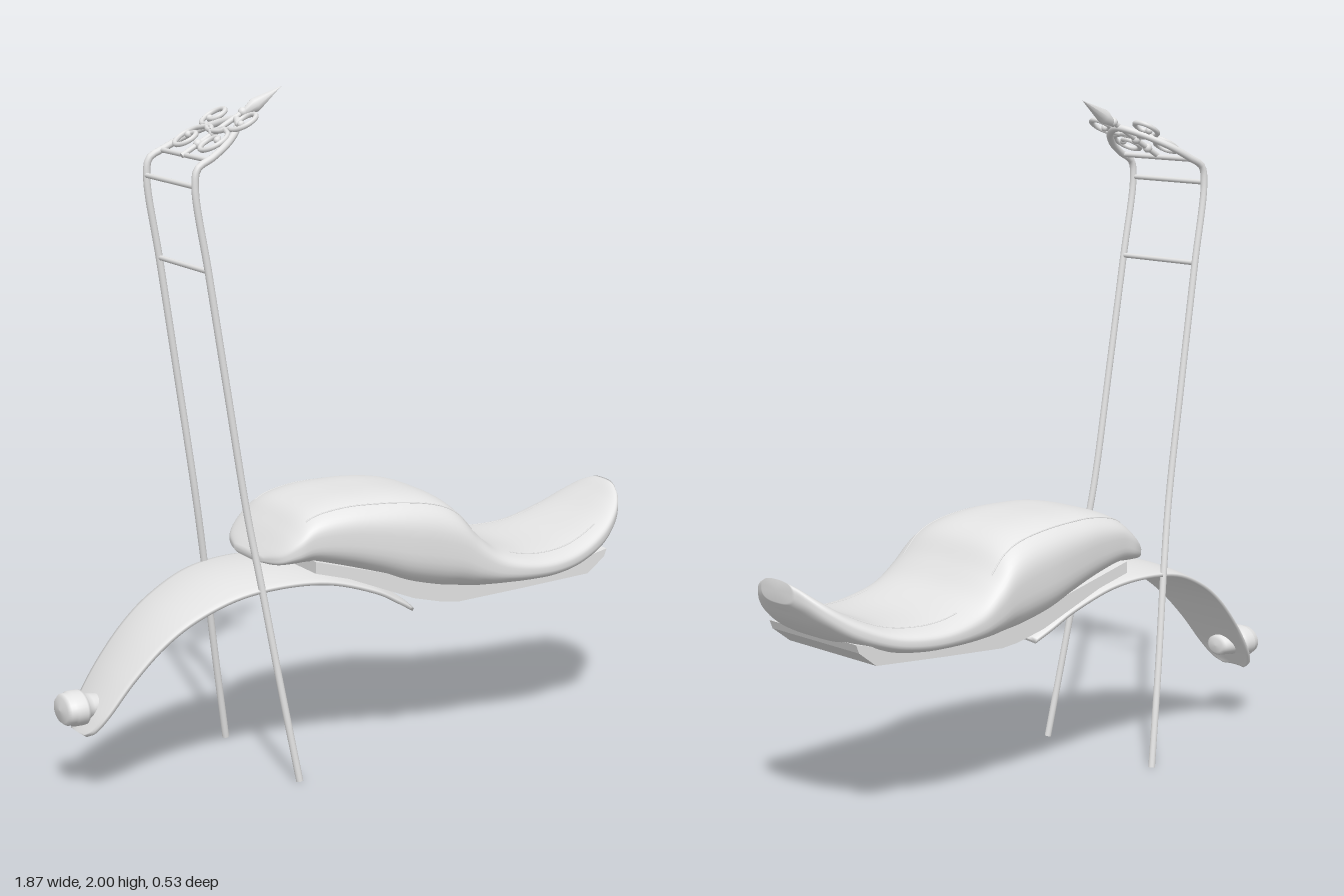
import * as THREE from 'three';

const metal = new THREE.MeshStandardMaterial({ color: 0xe4e4e4 });
metal.name = 'pale grey';

const V = (x, y, z = 0) => new THREE.Vector3(x, y, z);

function add(parent, geometry, name) {
  const mesh = new THREE.Mesh(geometry, metal);
  mesh.name = name;
  parent.add(mesh);
  return mesh;
}

function spline(points) {
  return new THREE.CatmullRomCurve3(points, false, 'catmullrom', 0.5);
}

function tube(parent, points, radius, name, segments = 40, sides = 10) {
  return add(parent, new THREE.TubeGeometry(new THREE.CatmullRomCurve3(points), segments, radius, sides), name);
}

// Straight round bar between two points
function bar(parent, a, b, radius, name) {
  const mesh = add(parent, new THREE.CylinderGeometry(radius, radius, a.distanceTo(b), 12), name);
  mesh.position.copy(a).add(b).multiplyScalar(0.5);
  mesh.quaternion.setFromUnitVectors(V(0, 1), b.clone().sub(a).normalize());
}

// Skin over closed rings of points, all rings the same length
function loft(rings) {
  const n = rings[0].length, index = [], position = rings.flat().flatMap(p => [p.x, p.y, p.z]);
  for (let i = 0; i < rings.length - 1; i++) {
    for (let j = 0; j < n; j++) {
      const k = (j + 1) % n, a = i * n + j, b = a + n, c = (i + 1) * n + k, d = i * n + k;
      index.push(a, b, c, a, c, d);
    }
  }
  const g = new THREE.BufferGeometry();
  g.setAttribute('position', new THREE.Float32BufferAttribute(position, 3));
  g.setIndex(index);
  g.computeVertexNormals();
  return g;
}

// Seat stations: x, top, bottom, half width
const seatStations = [
  [-0.33, 0.645, 0.625, 0.08], [-0.305, 0.675, 0.622, 0.16], [-0.26, 0.725, 0.622, 0.195],
  [-0.2, 0.775, 0.618, 0.205], [-0.1, 0.8, 0.59, 0.22], [0, 0.805, 0.555, 0.235],
  [0.1, 0.802, 0.515, 0.247], [0.2, 0.785, 0.49, 0.253], [0.27, 0.75, 0.482, 0.257],
  [0.33, 0.68, 0.48, 0.261], [0.4, 0.618, 0.482, 0.265], [0.5, 0.583, 0.484, 0.267],
  [0.6, 0.575, 0.486, 0.256], [0.7, 0.588, 0.5, 0.232], [0.8, 0.63, 0.535, 0.2],
  [0.87, 0.675, 0.585, 0.16], [0.91, 0.706, 0.63, 0.115], [0.93, 0.72, 0.655, 0.07],
];
const seatTop = spline(seatStations.map(([x, top, , w]) => V(x, top, w)));
const seatBottom = spline(seatStations.map(([x, , low]) => V(x, low)));

function seatRing(t, scale = 1) {
  const a = seatTop.getPoint(t), b = seatBottom.getPoint(t);
  const mid = (a.y + b.y) / 2, h = scale * (a.y - b.y) / 2, w = a.z * scale;
  const power = 2 / (3.3 - 0.6 * t);
  const soft = v => Math.sign(v) * Math.abs(v) ** power;
  return Array.from({ length: 56 }, (_, j) => {
    const q = (j + 0.5) / 56 * Math.PI * 2;
    return V(a.x, mid + h * soft(Math.sin(q)), w * soft(Math.cos(q)));
  });
}

function buildSeat(root) {
  const seat = new THREE.Group();
  seat.name = 'seat';
  root.add(seat);
  const rings = [seatRing(0, 0.001)];
  for (let i = 0; i <= 90; i++) rings.push(seatRing(i / 90));
  rings.push(seatRing(1, 0.001));
  add(seat, loft(rings), 'cushion');

  // Piping that follows the upper shoulders
  for (const side of [1, -1]) {
    for (const [from, to] of [[0.16, 0.52], [0.62, 0.82]]) {
      const line = [];
      for (let i = 0; i <= 16; i++) {
        const ring = seatRing(from + (to - from) * i / 16);
        line.push(ring[side > 0 ? 7 : 20]);
      }
      tube(seat, line, 0.0025, 'piping', 48, 6);
    }
  }

  // Flat-sided pan under the cushion
  const outline = [[-0.21, 0.605], [-0.1, 0.575], [0.12, 0.487], [0.22, 0.462], [0.28, 0.455], [0.5, 0.466],
    [0.74, 0.48], [0.8, 0.525], [0.81, 0.55], [0.7, 0.525], [0.3, 0.52], [0.1, 0.555], [-0.21, 0.64]];
  const shape = new THREE.Shape(outline.map(([x, y]) => new THREE.Vector2(x, y)));
  const pan = new THREE.ExtrudeGeometry(shape, { depth: 0.4, bevelEnabled: false });
  pan.translate(0, 0, -0.2);
  add(seat, pan, 'seatPan');
}

// Arched mudguard with a shallow crown
function buildFender(root) {
  const path = spline([
    [-0.885, 0.182, 0.045], [-0.872, 0.205, 0.08], [-0.84, 0.258, 0.106], [-0.77, 0.355, 0.123],
    [-0.68, 0.452, 0.14], [-0.58, 0.525, 0.159], [-0.45, 0.582, 0.182], [-0.3, 0.603, 0.197],
    [-0.15, 0.592, 0.2], [0, 0.545, 0.197], [0.09, 0.497, 0.188], [0.145, 0.463, 0.175],
  ].map(p => V(...p)));
  const ring = (t, scale = 1) => {
    const p = path.getPoint(t), d = path.getTangent(t);
    const normal = V(-d.y, d.x).normalize(), points = [];
    for (let j = 0; j <= 33; j++) {
      const upper = j < 17, u = upper ? 1 - j / 8 : -1 + (j - 17) / 8;
      const lift = scale * ((upper ? 0 : -0.01) - 0.02 * u * u * p.z / 0.2);
      points.push(V(p.x + normal.x * lift, p.y + normal.y * lift, u * p.z * scale));
    }
    return points;
  };
  const rings = [ring(0, 0.001)];
  for (let i = 0; i <= 60; i++) rings.push(ring(i / 60));
  rings.push(ring(1, 0.001));
  add(root, loft(rings), 'rearFender');

  // Oval tail lamp through the fender tip
  const profile = [[0, -0.788], [0.022, -0.79], [0.031, -0.797], [0.035, -0.845], [0.039, -0.862], [0.049, -0.868],
    [0.05, -0.875], [0.05, -0.903], [0.046, -0.908], [0.045, -0.922], [0.037, -0.932], [0, -0.937]];
  const lamp = new THREE.LatheGeometry(profile.map(([r, y]) => new THREE.Vector2(r, y)).reverse(), 32);
  lamp.rotateZ(-Math.PI / 2);
  lamp.scale(1, 1, 1.35);
  add(root, lamp, 'tailLamp').position.y = 0.252;
}

// Tall backrest hoop with an ornamental top leaning forward
function buildBackrest(root) {
  const rest = new THREE.Group();
  rest.name = 'backrest';
  root.add(rest);
  const lean = 0.527;
  const top = (t, z) => V(-0.56 + t * Math.cos(lean), 1.79 + t * Math.sin(lean), z);
  const half = side => [
    V(-0.285, 0, 0.235 * side), V(-0.335, 0.3, 0.209 * side), V(-0.38, 0.59, 0.183 * side),
    V(-0.415, 0.8, 0.166 * side), V(-0.47, 1.15, 0.16 * side), V(-0.525, 1.5, 0.156 * side),
    V(-0.563, 1.74, 0.154 * side), top(0.006, 0.153 * side), top(0.06, 0.149 * side),
    top(0.11, 0.136 * side), top(0.15, 0.114 * side), top(0.195, 0.074 * side),
  ];
  tube(rest, [...half(1), top(0.235, 0), ...half(-1).reverse()], 0.0105, 'hoop', 260, 12);
  for (const p of [V(-0.525, 1.505), V(-0.565, 1.745), top(0.05, 0)]) {
    bar(rest, V(p.x, p.y, 0.152), V(p.x, p.y, -0.152), 0.0075, 'crossbar');
  }

  // Ornament built flat, then leaned
  const ornament = new THREE.Group();
  ornament.name = 'ornament';
  ornament.position.set(-0.56, 1.79, 0);
  ornament.rotation.z = lean;
  rest.add(ornament);
  bar(ornament, V(0.04, 0.004), V(0.28, 0.004), 0.008, 'spine');
  for (const x of [0.1, 0.155, 0.265]) {
    add(ornament, new THREE.SphereGeometry(0.014, 14, 10), 'knot').position.set(x, 0.004, 0);
  }
  const scroll = (cx, cz, r, start, turn, stem, side) => {
    const points = stem.map(([x, z]) => V(x, 0.012, z * side));
    for (let i = 0; i <= 22; i++) {
      const f = i / 22, q = start + turn * f, rad = r * (1 - 0.62 * f);
      points.push(V(cx + rad * Math.cos(q), 0.012, side * (cz + rad * Math.sin(q))));
    }
    tube(ornament, points, 0.0075, 'scroll', 80, 8);
    add(ornament, new THREE.SphereGeometry(0.011, 10, 8), 'scrollTip').position.copy(points.at(-1));
  };
  for (const side of [1, -1]) {
    scroll(0.11, 0.075, 0.052, 0.2, 7, [[0.155, 0.004], [0.172, 0.035]], side);
    scroll(0.222, 0.09, 0.048, 3.5, -7, [[0.155, 0.004], [0.16, 0.035]], side);
  }

  // Spear point: long faceted tip and short base
  const spear = new THREE.LatheGeometry(
    [[0, 0.262], [0.01, 0.265], [0.022, 0.308], [0, 0.408]].map(([r, y]) => new THREE.Vector2(r, y)), 8);
  spear.rotateZ(-Math.PI / 2);
  add(ornament, spear, 'spearPoint');
}

export function createModel() {
  const model = new THREE.Group();
  model.name = 'seatAndBackrest';
  buildSeat(model);
  buildFender(model);
  buildBackrest(model);
  return model;
}
